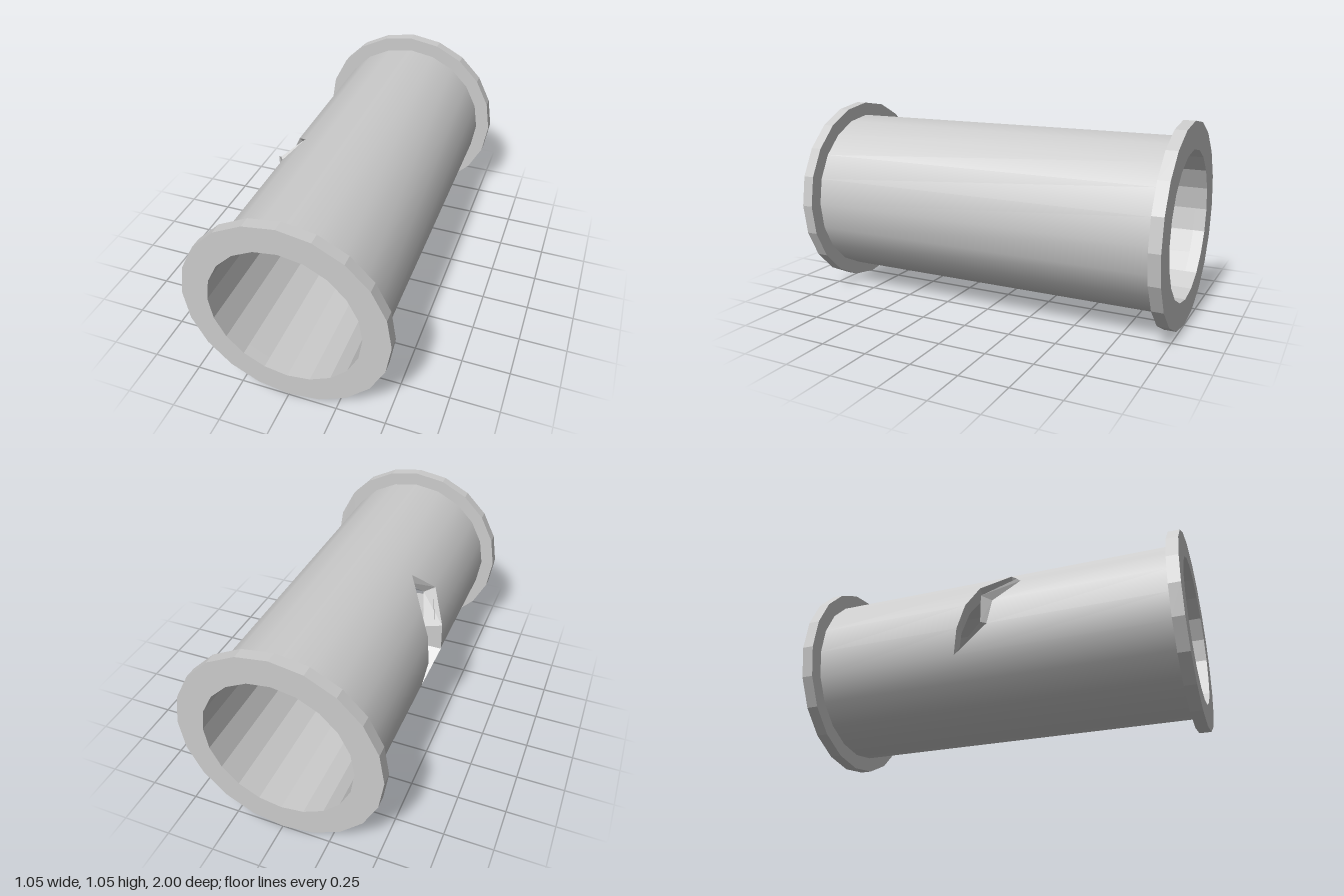
import * as THREE from 'three';

const SIDES = 20, STEP = (Math.PI * 2) / SIDES;
const CY = 0.523, R_OUT = 0.446, R_IN = 0.383, END = 0.94;

// Crack outline per 18 degree step, counted upwards from the -x side
const crack = {
  '-1': { z0: -0.16, z1: -0.16, lip: 0 },
  0: { z0: -0.14, z1: 0, lip: 0.024 },
  1: { z0: -0.105, z1: 0, lip: 0.045 },
  2: { z0: -0.05, z1: 0.16, lip: 0.015 },
  3: { z0: 0.09, z1: 0.09, lip: 0 },
};

const point = (k, r, z) => [-r * Math.cos(k * STEP), CY + r * Math.sin(k * STEP), z];

// Surface from four-cornered facets; radial gives smooth round normals
function facets(name, quads, radial) {
  const pos = [];
  for (const [a, b, c, d] of quads) pos.push(...a, ...b, ...c, ...a, ...c, ...d);
  const geo = new THREE.BufferGeometry();
  geo.setAttribute('position', new THREE.Float32BufferAttribute(pos, 3));
  geo.computeVertexNormals();
  if (radial) {
    const p = geo.attributes.position, n = geo.attributes.normal;
    for (let i = 0; i < p.count; i++) {
      const v = new THREE.Vector3(p.getX(i), p.getY(i) - CY, 0).normalize();
      n.setXYZ(i, v.x, v.y, 0);
    }
  }
  const mesh = new THREE.Mesh(geo, new THREE.MeshStandardMaterial({ color: 0xcccccc, side: THREE.DoubleSide }));
  mesh.name = name;
  return mesh;
}

// Tube wall split around the crack
function wall(name, r, outward) {
  const quads = [];
  const strip = (k, a0, a1, b0, b1) => {
    const q = [point(k, r, a0), point(k, r, a1), point(k + 1, r, b1), point(k + 1, r, b0)];
    quads.push(outward ? q : q.reverse());
  };
  for (let k = -1; k < SIDES - 1; k++) {
    const a = crack[k], b = crack[k + 1];
    if (a && b) {
      strip(k, -END, a.z0, -END, b.z0);
      strip(k, a.z1, END, b.z1, END);
    } else strip(k, -END, END, -END, END);
  }
  return facets(name, quads, outward);
}

// Broken edges of the crack, with the raised lip on one side
function crackEdges() {
  const quads = [];
  for (let k = -1; k < 3; k++) {
    const a = crack[k], b = crack[k + 1];
    const a1 = point(k, R_OUT + a.lip, a.z1), b1 = point(k + 1, R_OUT + b.lip, b.z1);
    quads.push([point(k, R_IN, a.z0), point(k, R_OUT, a.z0), point(k + 1, R_OUT, b.z0), point(k + 1, R_IN, b.z0)]);
    quads.push([point(k + 1, R_IN, b.z1), b1, a1, point(k, R_IN, a.z1)]);
    quads.push([a1, point(k, R_OUT, a.z1 + a.lip), point(k + 1, R_OUT, b.z1 + b.lip), b1]);
  }
  return facets('crackEdges', quads, false);
}

// Faceted end ring
function flange(name, radius, z) {
  const ring = (r) => Array.from({ length: SIDES }, (_, i) =>
    new THREE.Vector2(r * Math.cos(i * STEP), r * Math.sin(i * STEP)));
  const shape = new THREE.Shape(ring(radius));
  shape.holes.push(new THREE.Path(ring(R_IN)));
  const geo = new THREE.ExtrudeGeometry(shape, { depth: 0.06, bevelEnabled: false });
  const mesh = new THREE.Mesh(geo, new THREE.MeshStandardMaterial({ color: 0xcccccc }));
  mesh.name = name;
  mesh.position.set(0, CY, z);
  return mesh;
}

export function createModel() {
  const group = new THREE.Group();
  group.name = 'crackedPipe';
  group.add(
    wall('outerWall', R_OUT, true),
    wall('innerWall', R_IN, false),
    crackEdges(),
    flange('frontFlange', 0.518, END),
    flange('backFlange', 0.523, -1),
  );
  return group;
}
